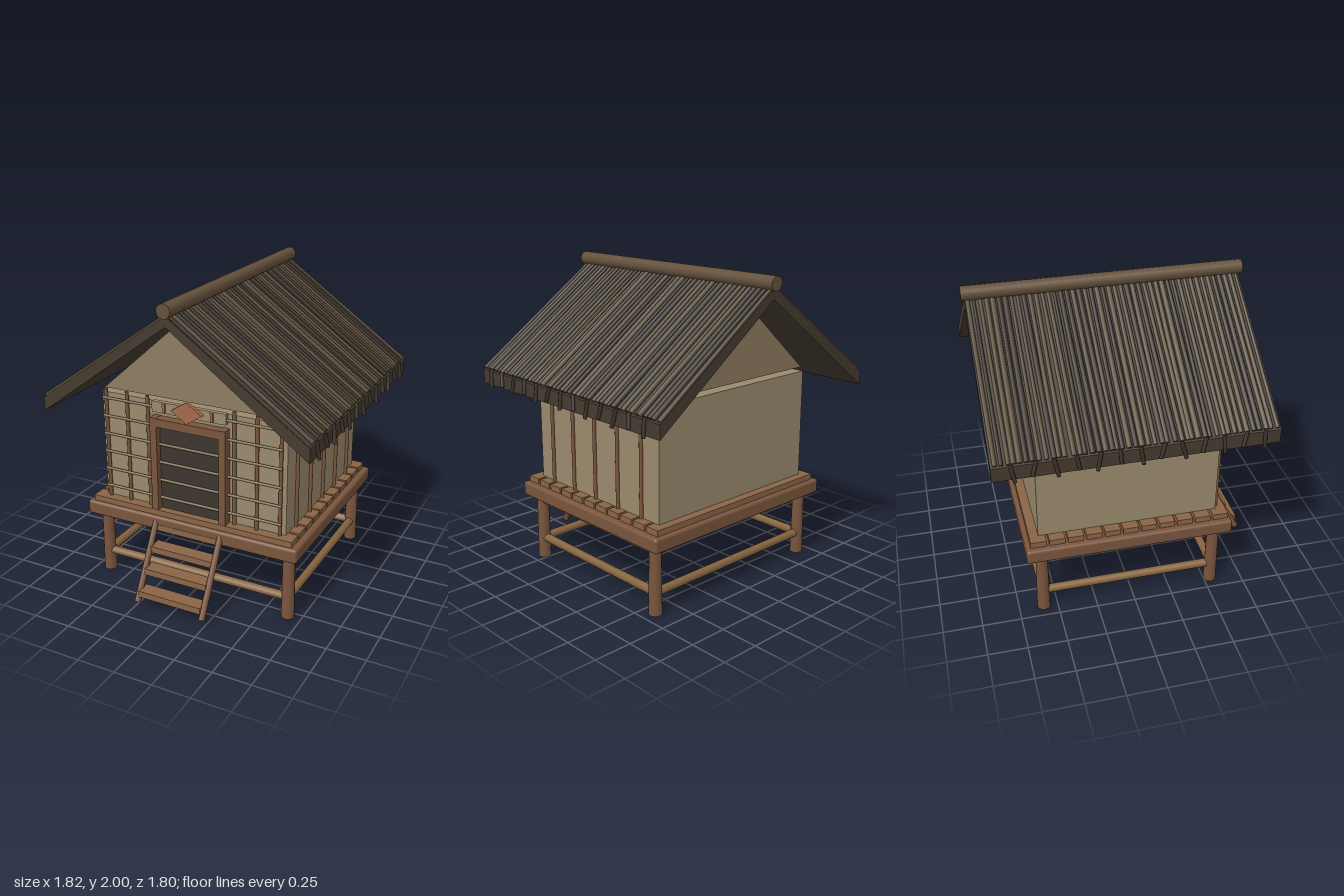
import * as THREE from 'three';
import { RoundedBoxGeometry } from 'three/addons/geometries/RoundedBoxGeometry.js';

const mat = (color) => new THREE.MeshStandardMaterial({ color });
const M = {
  timber: mat(0x7a553d), plank: mat(0x8a6546), rail: mat(0x86653f), wall: mat(0x9a8a6c),
  gable: mat(0x8d7c61), cane: mat(0x7a6a4c), door: mat(0x3d3630), clay: mat(0xa4694c),
  roof: mat(0x453b2f), reedA: mat(0x574936), reedB: mat(0x3a3128), ridge: mat(0x64513b),
};
const ZC = -0.025; // centre of hut and deck along z

// Small seeded generator for the irregular thatch
function seeded(seed) {
  return () => {
    seed = (seed * 1664525 + 1013904223) % 4294967296;
    return seed / 4294967296;
  };
}

export function createModel() {
  const model = new THREE.Group();
  const group = (name) => {
    const g = new THREE.Group();
    g.name = name;
    model.add(g);
    return g;
  };
  const add = (parent, name, geometry, material, x = 0, y = 0, z = 0) => {
    const m = new THREE.Mesh(geometry, material);
    m.name = name;
    m.position.set(x, y, z);
    parent.add(m);
    return m;
  };
  const box = (parent, name, material, w, h, d, x, y, z) =>
    add(parent, name, new THREE.BoxGeometry(w, h, d), material, x, y, z);
  // Round pole between two points
  const rod = (parent, name, material, a, b, r0, r1 = r0, sides = 10) => {
    const p = new THREE.Vector3(...a), q = new THREE.Vector3(...b);
    const dir = q.clone().sub(p);
    const m = add(parent, name, new THREE.CylinderGeometry(r1, r0, dir.length(), sides), material);
    m.position.copy(p).add(q).multiplyScalar(0.5);
    m.quaternion.setFromUnitVectors(new THREE.Vector3(0, 1, 0), dir.normalize());
    return m;
  };

  // Stilts and cross rails
  const base = group('stiltFrame');
  const LX = 0.66, LZ = 0.565;
  for (const s of [-1, 1]) {
    for (const t of [-1, 1]) {
      rod(base, 'leg', M.timber, [s * LX, 0, ZC + t * LZ], [s * LX, 0.46, ZC + t * LZ], 0.043, 0.038, 12);
    }
    for (const [y, r] of [[0.14, 0.028], [0.412, 0.024]]) {
      rod(base, 'crossRail', M.rail, [-LX, y, ZC + s * LZ], [LX, y, ZC + s * LZ], r);
      rod(base, 'sideRail', M.rail, [s * LX, y, ZC - LZ], [s * LX, y, ZC + LZ], r);
    }
  }

  // Deck with planks
  const deck = group('deck');
  add(deck, 'deckFrame', new RoundedBoxGeometry(1.49, 0.095, 1.33, 2, 0.018), M.timber, 0, 0.487, ZC);
  for (let i = 0; i < 11; i++) {
    box(deck, 'plank', M.plank, 1.41, 0.045, 0.1, 0, 0.55, 0.568 - i * 0.1178);
  }

  // Walls and gables
  const hut = group('hut');
  box(hut, 'walls', M.wall, 1.28, 0.72, 1.155, 0, 0.93, ZC);
  const tri = new THREE.Shape([[-0.62, 1.32], [0.62, 1.32], [0, 1.87]].map((p) => new THREE.Vector2(...p)));
  const gable = new THREE.ExtrudeGeometry(tri, { depth: 0.03, bevelEnabled: false });
  add(hut, 'frontGable', gable, M.gable, 0, 0, 0.525);
  add(hut, 'backGable', gable, M.gable, 0, 0, -0.6);
  for (let i = 0; i < 5; i++) {
    const z = 0.415 - i * 0.2175;
    rod(hut, 'sideBatten', M.timber, [0.648, 0.57, z], [0.648, 1.32, z], 0.012);
  }

  // Cane lattice across the front
  const lattice = group('lattice');
  for (const s of [-1, 1]) {
    for (const x of [0.3, 0.45, 0.605]) {
      rod(lattice, 'upright', M.timber, [s * x, 0.57, 0.567], [s * x, 1.32, 0.567], 0.012, 0.012, 8);
    }
  }
  for (let i = 0; i < 6; i++) {
    const y = 0.65 + i * 0.122;
    rod(lattice, 'crossCane', M.cane, [-0.62, y, 0.578], [0.62, y, 0.578], 0.009, 0.009, 8);
  }

  // Doorway and its ornament
  const doorway = group('doorway');
  box(doorway, 'door', M.door, 0.44, 0.58, 0.02, 0, 0.86, 0.56);
  for (const s of [-1, 1]) {
    box(doorway, 'doorPost', M.timber, 0.045, 0.64, 0.065, s * 0.238, 0.88, 0.583);
    box(doorway, 'ornamentPeg', M.clay, 0.018, 0.065, 0.02, s * 0.165, 1.27, 0.597);
  }
  box(doorway, 'lintel', M.timber, 0.52, 0.055, 0.065, 0, 1.17, 0.583);
  box(doorway, 'headPanel', M.wall, 0.51, 0.07, 0.03, 0, 1.267, 0.577);
  const diamond = new THREE.Shape([[0, -0.07], [0.108, 0], [0, 0.07], [-0.108, 0]].map((p) => new THREE.Vector2(...p)));
  add(doorway, 'diamondOrnament', new THREE.ExtrudeGeometry(diamond, { depth: 0.025, bevelEnabled: false }),
    M.clay, 0, 1.27, 0.592);

  // Ladder
  const ladder = group('ladder');
  for (const s of [-1, 1]) {
    rod(ladder, 'ladderRail', M.timber, [s * 0.23, 0.04, 0.88], [s * 0.23, 0.505, 0.62], 0.02);
  }
  for (let i = 0; i < 4; i++) {
    box(ladder, 'tread', M.plank, 0.44, 0.042, 0.095, 0, 0.1 + i * 0.12, 0.835 - i * 0.08);
  }

  // Roof: two slabs, reeds down the slope, hanging sticks at the eaves
  const roof = group('roof');
  const rand = seeded(7);
  for (const s of [-1, 1]) {
    const pts = [[0, 1.86], [s * 0.885, 1.21], [s * 0.885, 1.3], [0, 1.925]];
    const slab = new THREE.Shape(pts.map((p) => new THREE.Vector2(...p)));
    add(roof, 'roofSlab', new THREE.ExtrudeGeometry(slab, { depth: 1.71, bevelEnabled: false }),
      M.roof, 0, 0, -0.88);
    const n = 46;
    for (let i = 0; i < n; i++) {
      const z = -0.862 + (i * 1.674) / (n - 1);
      const r = 0.012 + rand() * 0.007;
      const skew = (rand() - 0.5) * 0.02;
      const zEnd = Math.max(-0.865, Math.min(0.815, z + skew));
      rod(roof, 'reed', rand() > 0.45 ? M.reedA : M.reedB,
        [s * 0.878, 1.31, zEnd], [s * 0.01, 1.922, z], r, r * (0.7 + rand() * 0.3), 6);
    }
    for (let i = 0; i < 13; i++) {
      const z = 0.73 - i * 0.1242;
      const tilt = (rand() - 0.5) * 0.03;
      const drop = i % 2 ? 0.025 : 0;
      rod(roof, 'eaveStick', M.reedB, [s * 0.9, 1.2 + drop, z - tilt], [s * 0.885, 1.318, z + tilt], 0.012, 0.012, 8);
    }
  }
  rod(roof, 'ridgePole', M.ridge, [0, 1.955, -0.9], [0, 1.955, 0.85], 0.045, 0.045, 14);

  return model;
}
